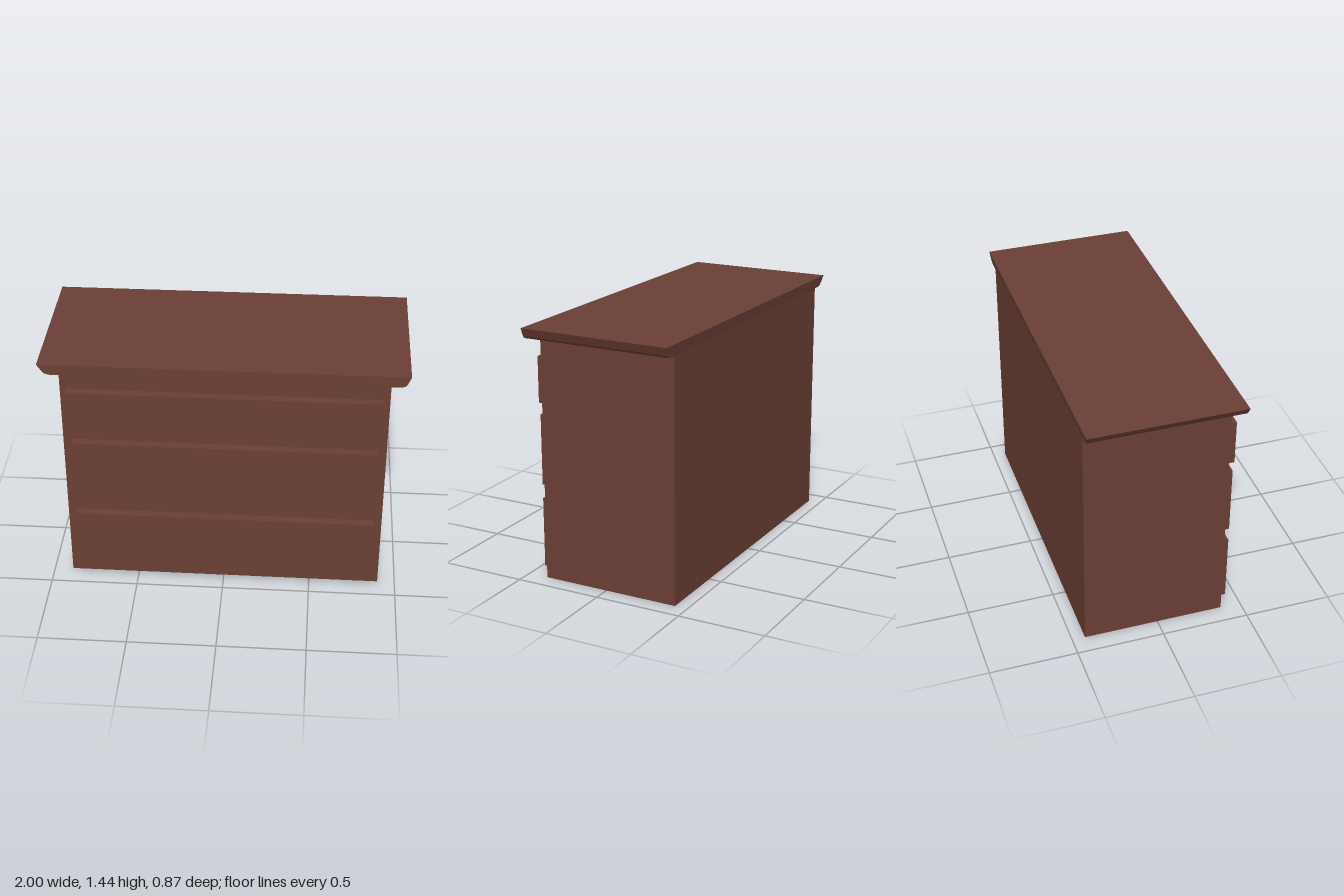
import * as THREE from 'three';

const wood = new THREE.MeshStandardMaterial({ color: 0x6b3f35, flatShading: true });

// Box given by its extents on each axis
function block(name, [x0, x1], [y0, y1], [z0, z1]) {
  const mesh = new THREE.Mesh(new THREE.BoxGeometry(x1 - x0, y1 - y0, z1 - z0), wood);
  mesh.position.set((x0 + x1) / 2, (y0 + y1) / 2, (z0 + z1) / 2);
  mesh.name = name;
  return mesh;
}

// Top slab: moulded left and right edges, flat front and back ends
function makeTop() {
  const profile = [
    [-1, 1.44], [-0.972, 1.398], [-0.96, 1.386], [-0.935, 1.379],
    [0.955, 1.379], [0.972, 1.386], [0.98, 1.396], [1, 1.443],
  ];
  const shape = new THREE.Shape(profile.map(([x, y]) => new THREE.Vector2(x, y)));
  const geometry = new THREE.ExtrudeGeometry(shape, { depth: 0.872, bevelEnabled: false });
  geometry.translate(0, 0, -0.436);

  // The back end leans in slightly towards the bottom
  const p = geometry.attributes.position;
  for (let i = 0; i < p.count; i++) {
    if (p.getZ(i) < 0) p.setZ(i, -0.436 + (1.44 - p.getY(i)) * 0.13);
  }
  geometry.computeVertexNormals();
  const mesh = new THREE.Mesh(geometry, wood);
  mesh.name = 'top';
  return mesh;
}

export function createModel() {
  const model = new THREE.Group();
  model.name = 'chestOfDrawers';
  model.add(block('body', [-0.893, 0.9], [0, 1.38], [-0.426, 0.382]), makeTop());

  // Drawer fronts
  const drawers = [
    ['topDrawer', [-0.857, 0.862], [1.0, 1.261]],
    ['middleDrawer', [-0.84, 0.85], [0.527, 0.931]],
    ['bottomDrawer', [-0.84, 0.85], [0.042, 0.446]],
  ];
  for (const [name, x, y] of drawers) model.add(block(name, x, y, [0.37, 0.428]));
  return model;
}
